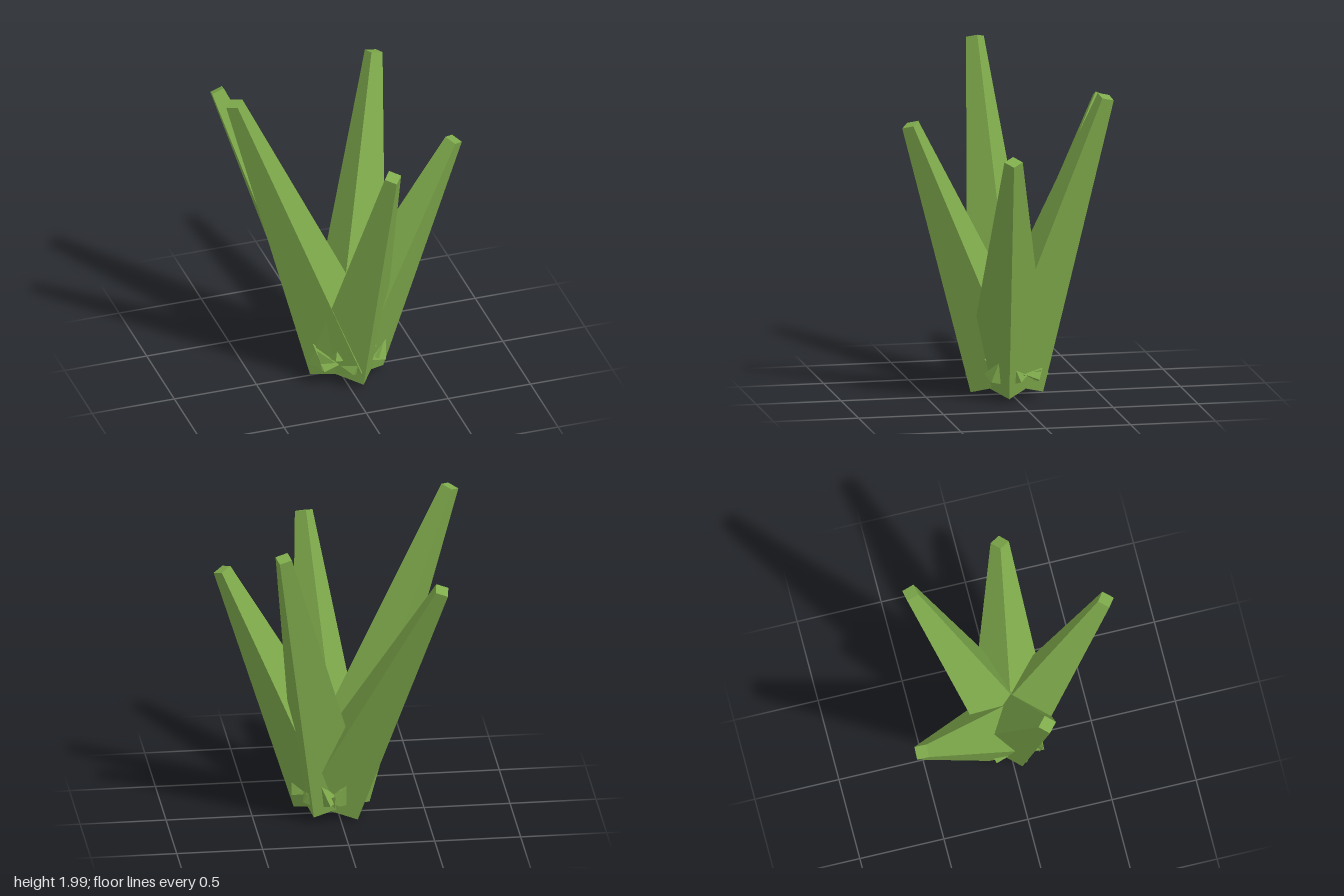
import * as THREE from 'three';

const UP = new THREE.Vector3(0, 1, 0);
const ROOT = new THREE.Vector3(0.035, 0.125, 0.03);

// Tapered prism running from one point to another, one corner facing the lean
function spike(name, from, to, rBottom, rTop, sides, material) {
  const dir = to.clone().sub(from);
  const length = dir.length();
  const geometry = new THREE.CylinderGeometry(rTop, rBottom, length, sides);
  geometry.translate(0, length / 2, 0);
  const mesh = new THREE.Mesh(geometry, material);
  mesh.name = name;
  mesh.position.copy(from);
  mesh.rotation.order = 'YXZ';
  mesh.rotation.y = Math.atan2(dir.x, dir.z);
  mesh.rotation.x = dir.angleTo(UP);
  return mesh;
}

export function createModel() {
  const model = new THREE.Group();
  model.name = 'spikyPlant';
  const green = new THREE.MeshStandardMaterial({ color: 0x7fab4c, flatShading: true });

  // Five four-sided leaves fanning out of a shared root
  const leafTips = [
    [-0.66, 1.98, 0.075],
    [0.123, 1.642, 0.618],
    [0.66, 1.508, 0.12],
    [0.376, 1.812, -0.482],
    [-0.526, 1.632, -0.638],
  ];
  const leaves = new THREE.Group();
  leaves.name = 'leaves';
  for (const tip of leafTips) {
    leaves.add(spike('leaf', ROOT, new THREE.Vector3(...tip), 0.24, 0.053, 4, green));
  }
  model.add(leaves);

  // Small three-sided thorns in the creases near the ground: base, point, radius
  const thornData = [
    [[-0.11, 0.15, 0.14], [-0.19, 0.27, 0.17], 0.055],
    [[-0.08, 0.2, 0.15], [-0.08, 0.25, 0.19], 0.03],
    [[0.02, 0.13, 0.22], [0.02, 0.18, 0.25], 0.025],
    [[0.18, 0.15, 0.14], [0.23, 0.23, 0.13], 0.055],
    [[0.2, 0.15, -0.01], [0.23, 0.16, -0.04], 0.035],
    [[0.17, 0.14, -0.08], [0.2, 0.18, -0.14], 0.045],
    [[0.05, 0.14, -0.16], [0.04, 0.18, -0.2], 0.045],
    [[-0.1, 0.15, -0.06], [-0.13, 0.18, -0.09], 0.03],
  ];
  const thorns = new THREE.Group();
  thorns.name = 'thorns';
  for (const [base, point, radius] of thornData) {
    thorns.add(spike('thorn', new THREE.Vector3(...base), new THREE.Vector3(...point), radius, 0, 3, green));
  }
  model.add(thorns);

  return model;
}
